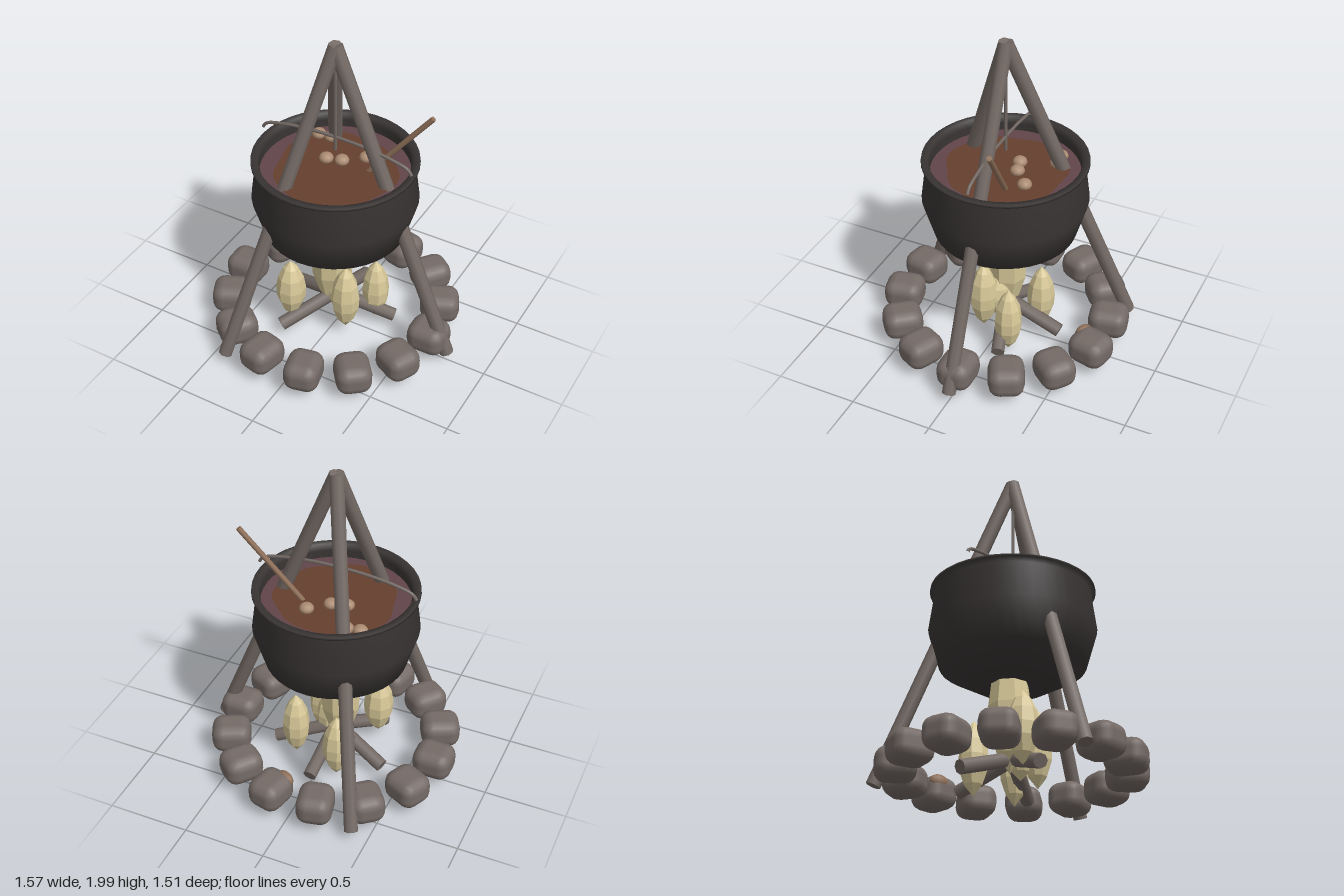
import * as THREE from 'three';
import { RoundedBoxGeometry } from 'three/addons/geometries/RoundedBoxGeometry.js';

export function createModel() {
  const root = new THREE.Group();
  root.name = 'campfireCauldron';
  const CX = -0.02; // common vertical axis of pot, tripod and ring

  const mat = (name, color, extra = {}) => {
    const m = new THREE.MeshStandardMaterial({ color, ...extra });
    m.name = name;
    return m;
  };
  const wood = mat('weathered wood', 0x746a65);
  const stone = mat('stone', 0x756b67);
  const iron = mat('black iron', 0x3a3535);
  const broth = mat('purple broth', 0x62454a);
  const stew = mat('brown stew', 0x653f2e);
  const dumpling = mat('dumpling', 0xab8b72);
  const spoonWood = mat('spoon wood', 0x8f7059);
  const flameMat = mat('pale flame', 0xd8c999, { flatShading: true });

  const add = (name, geo, material, x = 0, y = 0, z = 0, parent = root) => {
    const m = new THREE.Mesh(geo, material);
    m.name = name;
    m.position.set(x, y, z);
    parent.add(m);
    return m;
  };
  // Straight rod between two points
  const rod = (name, a, b, r, material, sides = 8, parent = root) => {
    const p = new THREE.Vector3(...a), q = new THREE.Vector3(...b);
    const dir = q.clone().sub(p);
    const m = add(name, new THREE.CylinderGeometry(r, r, dir.length(), sides), material, 0, 0, 0, parent);
    m.position.copy(p).add(q).multiplyScalar(0.5);
    m.quaternion.setFromUnitVectors(new THREE.Vector3(0, 1, 0), dir.normalize());
  };

  // Tripod legs, running through the pot to the apex
  const tripod = new THREE.Group();
  tripod.name = 'tripod';
  root.add(tripod);
  for (let i = 0; i < 3; i++) {
    const a = i * Math.PI * 2 / 3;
    rod('tripodLeg', [CX + 0.77 * Math.cos(a), 0.07, 0.77 * Math.sin(a)],
      [CX, 1.985, 0], 0.043, wood, 8, tripod);
  }
  rod('hangingRod', [CX, 1.3, 0], [CX, 1.93, 0], 0.01, wood, 6);

  // Pot: outer wall, flared rim and inner wall
  const profile = [[0, 0.65], [0.215, 0.65], [0.425, 0.77], [0.49, 0.99], [0.46, 1.215],
    [0.487, 1.235], [0.485, 1.25], [0.447, 1.25], [0.435, 1.21], [0.45, 1.0], [0.39, 0.8], [0, 0.7]];
  add('pot', new THREE.LatheGeometry(profile.map(p => new THREE.Vector2(...p)), 40), iron, CX);

  // Broth with an irregular patch of stew on it
  const disc = add('broth', new THREE.CircleGeometry(0.443, 40), broth, CX, 1.16, 0);
  disc.rotation.x = -Math.PI / 2;
  const blob = new THREE.Shape();
  for (let i = 0; i < 48; i++) {
    const a = i / 48 * Math.PI * 2;
    const r = 0.355 + 0.013 * Math.sin(3 * a + 1) + 0.009 * Math.sin(7 * a);
    blob[i ? 'lineTo' : 'moveTo'](r * Math.cos(a), r * Math.sin(a));
  }
  add('stew', new THREE.ShapeGeometry(blob), stew, CX, 1.166, 0).rotation.x = -Math.PI / 2;

  // Dumplings
  for (const [x, z] of [[-0.27, -0.24], [-0.19, -0.25], [0.09, -0.17], [-0.11, -0.05], [-0.02, -0.075]]) {
    add('dumpling', new THREE.SphereGeometry(0.044, 10, 8), dumpling, x, 1.18, z).scale.y = 0.75;
  }

  // Stirring spoon
  rod('spoonHandle', [0.09, 1.08, -0.068], [0.51, 1.6, -0.155], 0.016, spoonWood, 8);

  // Arched carrying handle with small turned-down ends
  const arch = new THREE.CatmullRomCurve3([[-0.485, 1.295], [-0.465, 1.325], [-0.36, 1.358],
    [-0.18, 1.383], [0, 1.389], [0.18, 1.383], [0.36, 1.358], [0.465, 1.325], [0.485, 1.295]]
    .map(([x, y]) => new THREE.Vector3(x, y, 0)));
  add('potHandle', new THREE.TubeGeometry(arch, 40, 0.01, 6), wood, CX);

  // Ring of stones
  const ring = new THREE.Group();
  ring.name = 'stoneRing';
  root.add(ring);
  const stoneGeo = new RoundedBoxGeometry(0.24, 0.185, 0.215, 2, 0.07);
  for (let i = 0; i < 14; i++) {
    const a = i * Math.PI * 2 / 14;
    add('stone', stoneGeo, stone, CX + 0.645 * Math.cos(a), 0.158, 0.645 * Math.sin(a), ring).rotation.y = -a;
  }
  // Scrap resting against one of the stones
  const scrap = add('scrap', new THREE.SphereGeometry(0.06, 10, 8), spoonWood, 0.065, 0.205, -0.555);
  scrap.scale.set(1.05, 0.75, 0.6);
  scrap.rotation.y = -0.4;

  // Firewood leaning in to the middle
  for (const deg of [-18, -88, -162, 125]) {
    const a = deg * Math.PI / 180, c = Math.cos(a), s = Math.sin(a);
    rod('log', [CX + 0.37 * c, 0.09, 0.37 * s], [CX + 0.02 * c, 0.21, 0.02 * s], 0.042, wood, 8);
  }

  // Flames: faceted spindles [x, z, bottom, top, radius]
  const flames = [
    [-0.05, 0, 0.12, 0.88, 0.125],
    [-0.225, 0.19, 0.09, 0.52, 0.092],
    [0.1, 0.09, 0.06, 0.53, 0.088],
    [0.195, -0.12, 0.02, 0.465, 0.085],
    [-0.11, -0.2, 0.01, 0.455, 0.085],
    [0.03, 0.02, 0.1, 0.44, 0.08],
  ];
  const spindle = [[0, 0], [0.6, 0.15], [0.95, 0.35], [1, 0.52], [0.85, 0.72], [0.5, 0.88], [0, 1]];
  flames.forEach(([x, z, y0, y1, r], i) => {
    const pts = spindle.map(([px, py]) => new THREE.Vector2(px * r, py * (y1 - y0)));
    add('flame', new THREE.LatheGeometry(pts, 8), flameMat, x, y0, z).rotation.y = i * 0.5;
  });

  return root;
}
